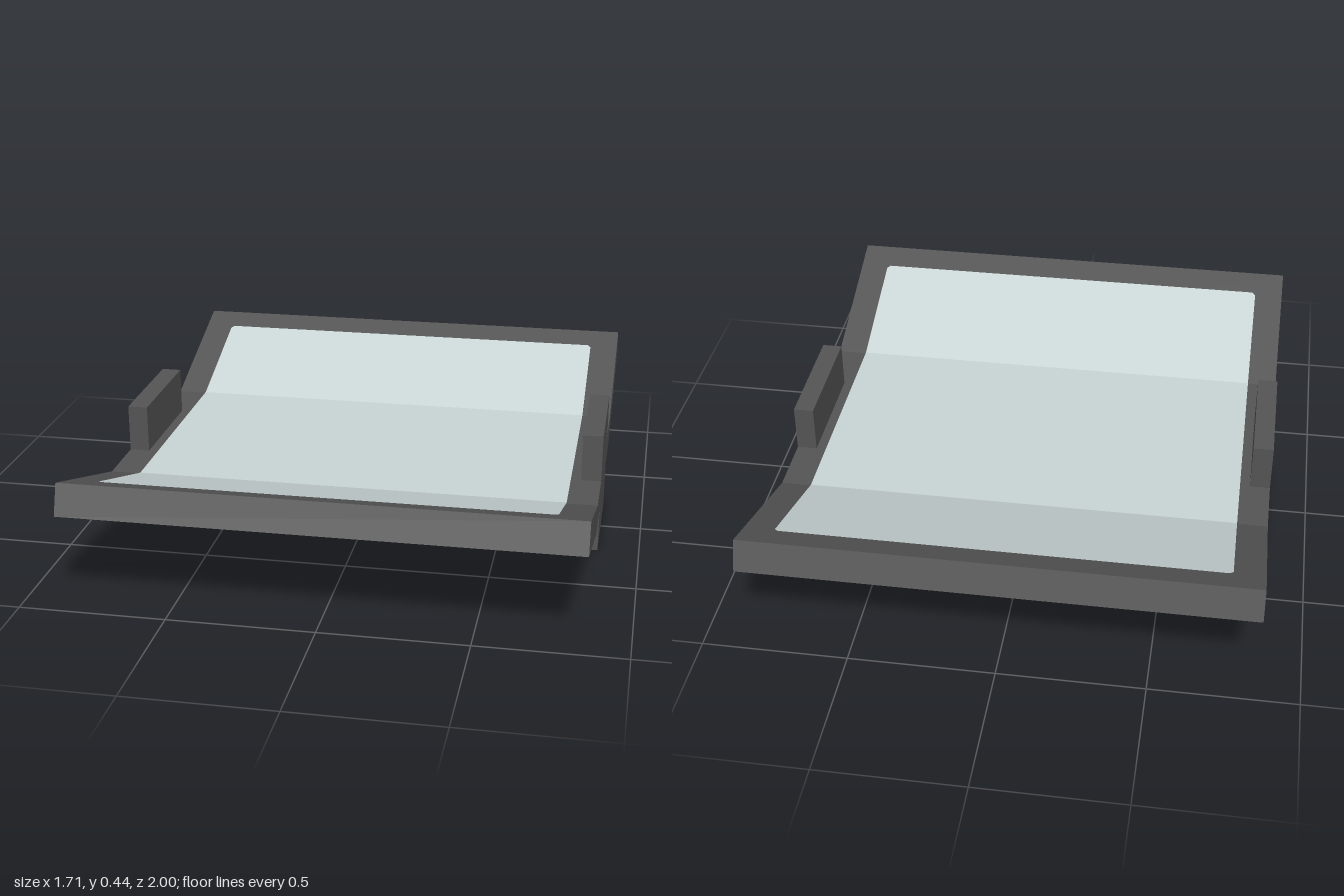
import * as THREE from 'three';

const HALF_WIDTH = 0.855;
const BEND_Z = 0.43, TIP_Z = 0.965;
const TOP_Y = 0.265, TIP_Y = 0.442;

// Height of the tray's upper surface at a given depth
function surfaceY(z) {
  const t = Math.max(0, Math.abs(z) - BEND_Z) / (TIP_Z - BEND_Z);
  return TOP_Y + t * (TIP_Y - TOP_Y);
}

export function createModel() {
  const group = new THREE.Group();
  const frameMaterial = new THREE.MeshStandardMaterial({ color: 0x555555 });
  frameMaterial.name = 'dark grey';
  const panelMaterial = new THREE.MeshStandardMaterial({ color: 0xcad6d6 });
  panelMaterial.name = 'pale grey blue';

  const add = (name, geometry, material) => {
    const mesh = new THREE.Mesh(geometry, material);
    mesh.name = name;
    group.add(mesh);
    return mesh;
  };

  // Bent tray: side profile (z, y) extruded across the width
  const half = [[BEND_Z, 0.16], [1, 0.338], [TIP_Z, TIP_Y], [BEND_Z, TOP_Y]];
  const mirrored = half.map(([z, y]) => [-z, y]).reverse();
  const profile = new THREE.Shape([...half, ...mirrored].map(([z, y]) => new THREE.Vector2(z, y)));
  const tray = new THREE.ExtrudeGeometry(profile, { depth: 2 * HALF_WIDTH, bevelEnabled: false });
  tray.translate(0, 0, -HALF_WIDTH);
  tray.rotateY(-Math.PI / 2);
  add('tray', tray, frameMaterial);

  // Pale inlay following the bends, with slightly clipped corners
  const rows = [[-0.865, 0.738], [-0.853, 0.75], [-BEND_Z, 0.75], [BEND_Z, 0.75], [0.853, 0.75], [0.865, 0.738]];
  const positions = [];
  for (let i = 0; i < rows.length - 1; i++) {
    const [z0, w0] = rows[i], [z1, w1] = rows[i + 1];
    const y0 = surfaceY(z0) + 0.003, y1 = surfaceY(z1) + 0.003;
    const a = [-w0, y0, z0], b = [-w1, y1, z1], c = [w1, y1, z1], d = [w0, y0, z0];
    positions.push(...a, ...b, ...c, ...a, ...c, ...d);
  }
  const inlay = new THREE.BufferGeometry();
  inlay.setAttribute('position', new THREE.Float32BufferAttribute(positions, 3));
  inlay.computeVertexNormals();
  add('inlay', inlay, panelMaterial);

  // Upright side supports
  for (const [name, side] of [['leftSupport', 1], ['rightSupport', -1]]) {
    const support = add(name, new THREE.BoxGeometry(0.07, 0.432, 0.428), frameMaterial);
    support.position.set(side * (HALF_WIDTH - 0.035), 0.216, 0);
  }

  return group;
}
